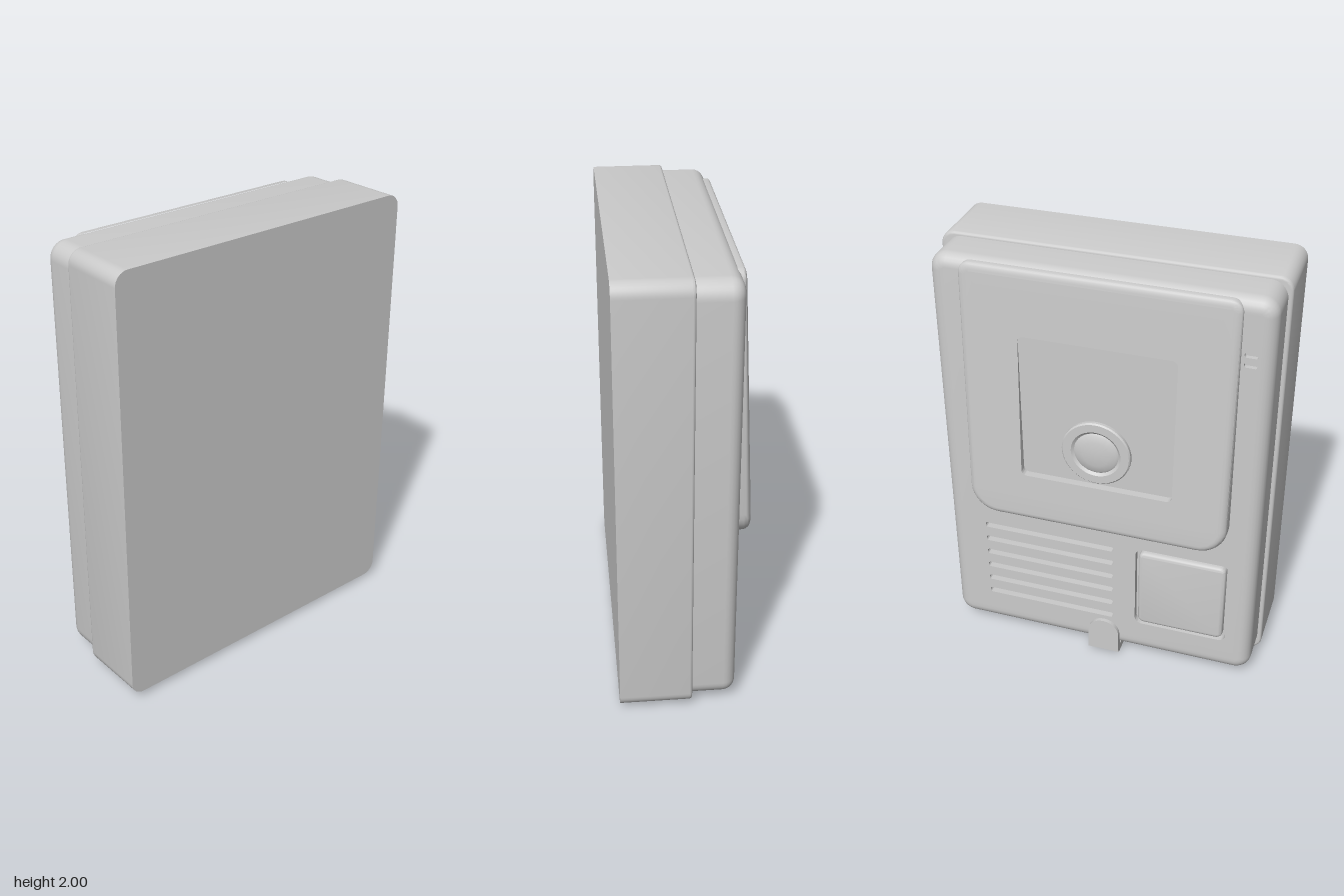
import * as THREE from 'three';
import { mergeGeometries, toCreasedNormals } from 'three/addons/utils/BufferGeometryUtils.js';

const SEG = 8;

// Rounded rectangle outline, counter-clockwise; rb / rt are bottom and top corner radii
function outline([x0, x1, y0, y1, rb, rt = rb], inset = 0) {
  const corners = [[x1, y0, -1, 1, rb], [x1, y1, -1, -1, rt], [x0, y1, 1, -1, rt], [x0, y0, 1, 1, rb]];
  const pts = [];
  corners.forEach(([x, y, sx, sy, r], k) => {
    const rad = Math.max(r - inset, 0.002);
    const off = inset + rad;
    for (let i = 0; i <= SEG; i++) {
      const a = (k - 1 + i / SEG) * Math.PI / 2;
      pts.push(new THREE.Vector2(x + sx * off + rad * Math.cos(a), y + sy * off + rad * Math.sin(a)));
    }
  });
  return pts;
}

// Walls through [inset, z] steps, closed by a forward-facing cap with optional holes.
// Descending z gives a pocket, ascending z gives a solid.
function shell(rect, profile, holes = []) {
  const pos = [], index = [];
  const rings = profile.map(([inset]) => outline(rect, inset));
  const n = rings[0].length;
  rings.forEach((ring, k) => ring.forEach(p => pos.push(p.x, p.y, profile[k][1])));
  for (let k = 0; k < rings.length - 1; k++) {
    for (let j = 0; j < n; j++) {
      const a = k * n + j, b = k * n + (j + 1) % n;
      index.push(a, b, b + n, a, b + n, a + n);
    }
  }
  const walls = new THREE.BufferGeometry();
  walls.setAttribute('position', new THREE.Float32BufferAttribute(pos, 3));
  walls.setIndex(index);

  const shape = new THREE.Shape(rings[rings.length - 1]);
  holes.forEach(h => shape.holes.push(new THREE.Path(outline(h))));
  const cap = new THREE.ShapeGeometry(shape);
  cap.translate(0, 0, profile[profile.length - 1][1]);
  cap.deleteAttribute('uv');
  cap.deleteAttribute('normal');
  return mergeGeometries([walls.toNonIndexed(), cap.toNonIndexed()]);
}

// Quarter-round edge ending at depth z
function roundEdge(z, r, steps = 6) {
  return Array.from({ length: steps + 1 }, (_, i) => {
    const a = i / steps * Math.PI / 2;
    return [r * (1 - Math.cos(a)), z - r + r * Math.sin(a)];
  });
}

export function createModel() {
  const model = new THREE.Group();
  const unit = new THREE.Group();
  unit.name = 'doorStation';
  unit.rotation.y = Math.PI; // the detailed face looks toward -z
  model.add(unit);
  const mat = new THREE.MeshStandardMaterial({ color: 0xcccccc });

  function add(name, geo, crease = 0.6) {
    const mesh = new THREE.Mesh(crease ? toCreasedNormals(geo, crease) : geo, mat);
    mesh.name = name;
    unit.add(mesh);
    return mesh;
  }

  // Wall box
  const box = [-0.75, 0.75, 0.025, 2, 0.06];
  add('wallBox', shell(box, [[0, -0.29], ...roundEdge(0.025, 0.012, 3)]));
  const back = new THREE.ShapeGeometry(new THREE.Shape(outline(box)));
  back.rotateY(Math.PI);
  back.translate(0, 0, -0.29);
  add('backPanel', back, 0);

  // Front housing with openings for speaker, button and indicators
  const face = 0.217;
  const slots = [];
  for (let i = 0; i < 6; i++) {
    const y = 0.625 - i * 0.08;
    slots.push([-0.555, 0.07, y - 0.014, y + 0.014, 0.013]);
  }
  const lights = [1.74, 1.695].map(y => [0.608, 0.664, y - 0.011, y + 0.011, 0.01]);
  const well = [0.175, 0.61, 0.21, 0.655, 0.035];
  add('housing', shell([-0.73, 0.73, 0.04, 1.985, 0.075],
    [[0, 0], ...roundEdge(face, 0.055)], [...slots, ...lights, well]));
  slots.forEach(s => add('speakerSlot', shell(s, [[0, face], [0, face - 0.03]])));
  lights.forEach(s => add('indicatorSlot', shell(s, [[0, face], [0, face - 0.02]])));
  add('buttonWell', shell(well, [[0, face], [0, face - 0.03]]));
  add('callButton', shell([0.19, 0.595, 0.225, 0.64, 0.03],
    [[0, face - 0.03], ...roundEdge(0.226, 0.018, 4)]));

  // Camera panel: thick at the bottom, thinning toward the top
  const base = 0.2, front = 0.29;
  const lean = geo => {
    const p = geo.attributes.position;
    for (let i = 0; i < p.count; i++) {
      const k = 1 - 0.61 * (p.getY(i) - 0.76) / 1.215;
      p.setZ(i, base + (p.getZ(i) - base) * k);
    }
    return geo;
  };
  const windowRect = [-0.335, 0.35, 1.0, 1.68, 0.025];
  add('cameraPanel', lean(shell([-0.59, 0.595, 0.76, 1.975, 0.13, 0.05],
    [[0, base], ...roundEdge(front, 0.035)], [windowRect])));

  // Window recess: sloping rim, upright floor
  const recess = shell(windowRect, [[0, front], [0, 0.245]]);
  const rp = recess.attributes.position;
  for (let i = 0; i < rp.count; i++) {
    if (rp.getZ(i) < 0.28) continue;
    rp.setZ(i, base + (front - base) * (1 - 0.61 * (rp.getY(i) - 0.76) / 1.215));
  }
  add('windowRecess', recess);

  // Camera lens: raised ring around a shallow dome
  const lensProfile = [[0.155, 0], [0.155, 0.014], [0.149, 0.02], [0.112, 0.02], [0.1, 0.01],
    [0.09, 0.016], [0.06, 0.022], [0.03, 0.025], [0, 0.026]];
  const lens = new THREE.LatheGeometry(lensProfile.map(p => new THREE.Vector2(...p)), 48);
  lens.rotateX(Math.PI / 2);
  lens.translate(0.005, 1.17, 0.245);
  add('cameraLens', lens, 0.4);

  // Fixing tab: arched upright on a foot running under the housing
  const arch = new THREE.Shape();
  arch.moveTo(-0.05, 0.01);
  arch.lineTo(0.1, 0.01);
  arch.lineTo(0.1, 0.115);
  arch.absarc(0.025, 0.115, 0.075, 0, Math.PI);
  arch.closePath();
  const upright = new THREE.ExtrudeGeometry(arch, { depth: 0.03, bevelEnabled: false, curveSegments: 20 });
  upright.translate(0, 0, 0.205);
  add('tabUpright', upright);
  const foot = new THREE.BoxGeometry(0.15, 0.042, 0.175);
  foot.translate(0.025, 0.021, 0.1325);
  add('tabFoot', foot, 0);

  return model;
}
